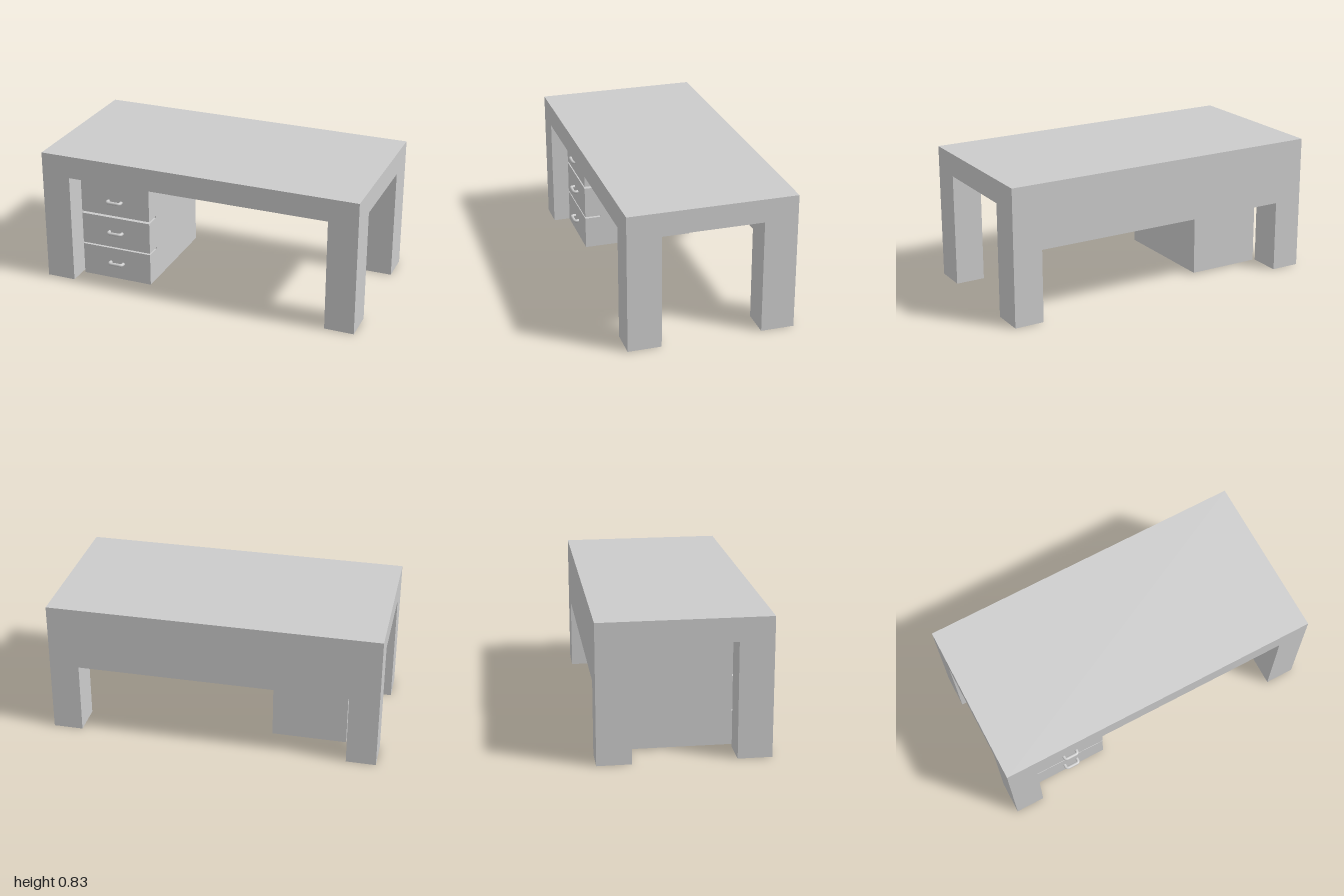
import * as THREE from 'three';

const material = new THREE.MeshStandardMaterial({ color: 0xcccccc });

// Box given by its min and max along each axis
function box(name, [x0, x1], [y0, y1], [z0, z1]) {
  const mesh = new THREE.Mesh(new THREE.BoxGeometry(x1 - x0, y1 - y0, z1 - z0), material);
  mesh.position.set((x0 + x1) / 2, (y0 + y1) / 2, (z0 + z1) / 2);
  mesh.name = name;
  return mesh;
}

// Bow handle: two posts bending into a bar, starting on the plane z = 0
function createHandle() {
  const r = 0.01, half = 0.043, out = 0.028, bend = 0.016;
  const v = (x, z) => new THREE.Vector3(x, 0, z);
  const path = new THREE.CurvePath();
  path.add(new THREE.LineCurve3(v(-half, -0.005), v(-half, out - bend)));
  path.add(new THREE.QuadraticBezierCurve3(v(-half, out - bend), v(-half, out), v(bend - half, out)));
  path.add(new THREE.LineCurve3(v(bend - half, out), v(half - bend, out)));
  path.add(new THREE.QuadraticBezierCurve3(v(half - bend, out), v(half, out), v(half, out - bend)));
  path.add(new THREE.LineCurve3(v(half, out - bend), v(half, -0.005)));
  const handle = new THREE.Mesh(new THREE.TubeGeometry(path, 40, r, 12), material);
  handle.name = 'drawerHandle';
  return handle;
}

export function createModel() {
  const model = new THREE.Group();
  model.name = 'desk';

  // Thick top on four block legs
  const top = 0.83, under = 0.69, legX = 0.82, legZ = 0.3;
  model.add(box('deskTop', [-1, 1], [under, top], [-0.5, 0.5]));
  for (const [x0, x1] of [[-1, -legX], [legX, 1]]) {
    for (const [z0, z1] of [[-0.5, -legZ], [legZ, 0.5]]) {
      model.add(box('leg', [x0, x1], [0, under], [z0, z1]));
    }
  }

  // Modesty panel between the back legs
  model.add(box('backPanel', [-legX, legX], [0.44, under], [-0.5, -0.4]));

  // Drawer pedestal: carcass plus drawer fronts parted by narrow slots
  const pedestal = new THREE.Group();
  pedestal.name = 'drawerPedestal';
  const width = [-0.795, -0.34], front = 0.4, slotBack = 0.3;
  pedestal.add(box('carcass', width, [0.008, 0.645], [-0.31, slotBack]));
  const drawers = [
    { span: [0.008, 0.212], handleY: 0.116 },
    { span: [0.222, 0.422], handleY: 0.325 },
    { span: [0.436, 0.645], handleY: 0.533 },
  ];
  for (const { span, handleY } of drawers) {
    pedestal.add(box('drawerFront', width, span, [slotBack, front]));
    const handle = createHandle();
    handle.position.set((width[0] + width[1]) / 2, handleY, front);
    pedestal.add(handle);
  }
  model.add(pedestal);

  return model;
}
